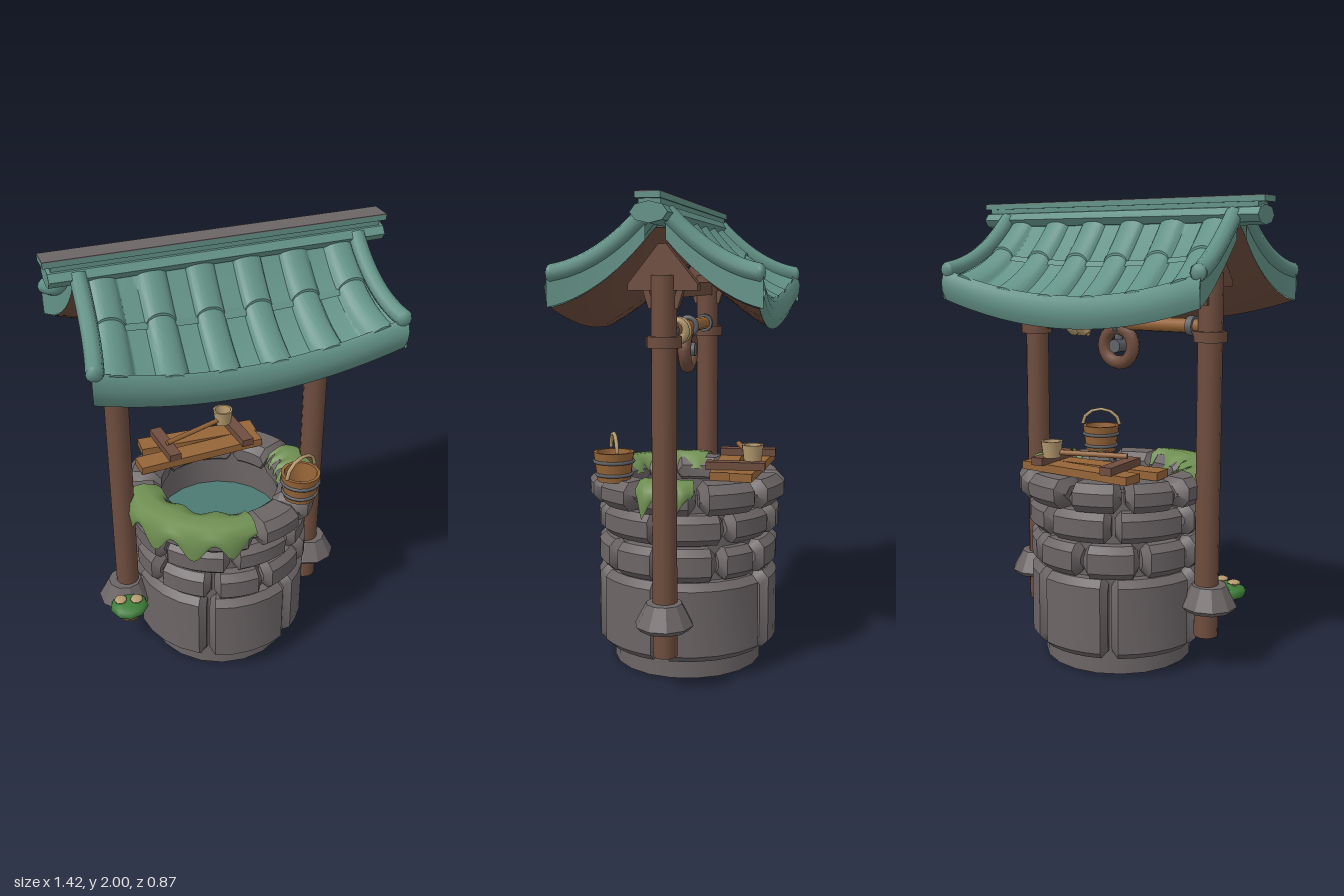
import * as THREE from 'three';
import { toCreasedNormals } from 'three/addons/utils/BufferGeometryUtils.js';

const mat = (name, color, double) => {
  const m = new THREE.MeshStandardMaterial({ color });
  m.name = name;
  if (double) m.side = THREE.DoubleSide;
  return m;
};

export function createModel() {
  const model = new THREE.Group();
  model.name = 'well';
  const tile = mat('roofTeal', 0x639287, true);
  const stone = mat('stoneGrey', 0x6c6566);
  const wood = mat('darkWood', 0x6f4d3e);
  const plankWood = mat('plankWood', 0x966538, true);
  const rope = mat('ropeTan', 0xb59a6e);
  const moss = mat('mossGreen', 0x6f8f52, true);
  const leaf = mat('leafGreen', 0x3d7c38);
  const iron = mat('ironGrey', 0x5f6268);
  const waterMat = mat('waterTeal', 0x4c7a74);

  const add = (name, geo, m, pos = [0, 0, 0], rot = [0, 0, 0], parent = model) => {
    const mesh = new THREE.Mesh(geo, m);
    mesh.name = name;
    mesh.position.set(...pos);
    mesh.rotation.set(...rot);
    parent.add(mesh);
    return mesh;
  };
  const box = (x, y, z) => new THREE.BoxGeometry(x, y, z);
  const cyl = (rt, rb, h, n = 12) => new THREE.CylinderGeometry(rt, rb, h, n);
  const V = (x, y, z) => new THREE.Vector3(x, y, z);
  const lathe = (pts, n) => toCreasedNormals(new THREE.LatheGeometry(pts.map(p => new THREE.Vector2(...p)), n), 0.6);
  let seed = 7;
  const rand = () => (seed = (seed * 16807) % 2147483647) / 2147483647;

  // Surface from a rule f(u, v); its normal points along dv x du
  const grid = (nu, nv, f) => {
    const pos = [], idx = [], w = nv + 1;
    for (let i = 0; i <= nu; i++) for (let j = 0; j <= nv; j++) pos.push(...f(i / nu, j / nv));
    for (let i = 0; i < nu; i++) for (let j = 0; j < nv; j++) {
      const a = i * w + j;
      idx.push(a, a + 1, a + w + 1, a, a + w + 1, a + w);
    }
    const g = new THREE.BufferGeometry();
    g.setAttribute('position', new THREE.Float32BufferAttribute(pos, 3));
    g.setIndex(idx);
    g.computeVertexNormals();
    return g;
  };

  // Chamfered block bent around the well, lofted from octagonal sections
  const stoneBlock = (a0, a1, r0, r1, y0, y1, b) => {
    const section = (a, k) => [
      [r1 - k, y1 - b - k], [r1 - k, y0 + b + k], [r1 - b - k, y0 + k], [r0 + b, y0 + k],
      [r0, y0 + b + k], [r0, y1 - b - k], [r0 + b, y1 - k], [r1 - b - k, y1 - k],
    ].map(([r, y]) => [r * Math.sin(a), y, r * Math.cos(a)]);
    const e = b / r1, n = 4, rings = [section(a0, b * 0.9)];
    for (let i = 0; i <= n; i++) rings.push(section(a0 + e + (a1 - a0 - 2 * e) * i / n, 0));
    rings.push(section(a1, b * 0.9));
    const p = [];
    for (let i = 0; i < rings.length - 1; i++) for (let j = 0; j < 8; j++) {
      const A = rings[i][j], B = rings[i][(j + 1) % 8], C = rings[i + 1][(j + 1) % 8], D = rings[i + 1][j];
      p.push(...A, ...B, ...C, ...A, ...C, ...D);
    }
    const s = rings[0], t = rings[rings.length - 1];
    for (let j = 1; j < 7; j++) p.push(...s[0], ...s[j + 1], ...s[j], ...t[0], ...t[j], ...t[j + 1]);
    const g = new THREE.BufferGeometry();
    g.setAttribute('position', new THREE.Float32BufferAttribute(p, 3));
    g.computeVertexNormals();
    return toCreasedNormals(g, 0.6);
  };

  // Well shaft and water
  add('shaft', lathe([[0, 0], [0.33, 0], [0.33, 0.8], [0.28, 0.8], [0.28, 0.55], [0, 0.55]], 20), stone);
  add('water', cyl(0.282, 0.282, 0.01, 20), waterMat, [0, 0.61, 0]);

  // Stone courses: count, start angle, inner and outer radius, bottom, top, chamfer
  [[6, -0.5, 0.3, 0.395, 0.085, 0.43, 0.03], [10, -0.44, 0.3, 0.395, 0.435, 0.575, 0.03],
    [8, -0.22, 0.3, 0.4, 0.59, 0.72, 0.03], [10, 0.03, 0.265, 0.435, 0.725, 0.85, 0.035]].forEach(([n, start, r0, r1, y0, y1, b], row) => {
    const step = 2 * Math.PI / n;
    const cuts = Array.from({ length: n }, (_, i) => start + step * (i + (i > 1 ? (rand() - 0.5) * 0.25 : 0)));
    cuts.push(cuts[0] + 2 * Math.PI);
    for (let i = 0; i < n; i++) {
      const j = (rand() - 0.5) * 0.016;
      add('stoneRow' + (row + 1), stoneBlock(cuts[i] + 0.02, cuts[i + 1] - 0.02, r0, r1 + j, y0, y1 + j * 0.5, b), stone);
    }
  });

  // Moss draped over the rim
  const drape = (a0, a1, drips, n) => add('rimMoss', grid(n, 6, (u, v) => {
    const a = a0 + (a1 - a0) * u, edge = Math.min(1, 6 * u, 6 * (1 - u));
    const low = 0.82 - edge * (0.07 + 0.045 * Math.cos(2 * Math.PI * drips * (u - 0.12)));
    const wob = 0.015 * Math.sin(u * 19), pull = 0.03 * (1 - edge);
    const path = [[0.27 - wob, 0.8], [0.29 - wob, 0.85], [0.35, 0.868], [0.42 - pull, 0.862], [0.448 - pull, 0.835], [0.454 - pull, (0.82 + low) / 2], [0.448 - pull, low]];
    const [r, y] = path[Math.round(v * 6)];
    return [r * Math.sin(a), y, r * Math.cos(a)];
  }), moss);
  drape(-1.66, 0.03, 4, 40);
  drape(1.24, 1.84, 2, 18);

  // Posts with collars, footings and gables
  for (const s of [-1, 1]) {
    const x = 0.455 * s;
    add('post', cyl(0.052, 0.052, 1.55), wood, [x, 0.925, 0]);
    add('postCollar', cyl(0.072, 0.072, 0.045, 10), wood, [x, 1.44, 0]);
    add('footing', toCreasedNormals(cyl(0.075, 0.122, 0.09, 10), 0.4), stone, [x * 1.03, 0.335, 0]);
    add('footingBase', toCreasedNormals(cyl(0.122, 0.105, 0.02, 10), 0.4), stone, [x * 1.03, 0.28, 0]);
    const g = new THREE.Shape([[-0.14, 1.64], [0.14, 1.64], [0.14, 1.665], [0.015, 1.82], [-0.015, 1.82], [-0.14, 1.665]].map(p => new THREE.Vector2(...p)));
    add('gable', new THREE.ExtrudeGeometry(g, { depth: 0.05, bevelEnabled: false }), wood, [x - 0.025, 0, 0], [0, Math.PI / 2, 0]);
    for (const k of [-1, 1]) add('brace', box(0.035, 0.08, 0.025), wood, [x, 1.61, 0.058 * k], [0.3 * k, 0, 0]);
    add('axleRing', cyl(0.042, 0.042, 0.03), iron, [0.37 * s, 1.48, 0], [0, 0, Math.PI / 2]);
  }
  add('tieBeam', box(0.91, 0.06, 0.06), wood, [0, 1.64, 0]);

  // Axle, pulley wheel, hook and rope coils
  add('axle', cyl(0.03, 0.03, 0.84), plankWood, [0, 1.48, 0], [0, 0, Math.PI / 2]);
  add('pulleyWheel', new THREE.TorusGeometry(0.075, 0.03, 8, 20), wood, [0, 1.38, 0]);
  add('pulleyHook', cyl(0.018, 0.018, 0.12, 8), iron, [0, 1.44, 0]);
  add('hookRing', new THREE.TorusGeometry(0.038, 0.012, 6, 14), iron, [0, 1.48, 0], [0, Math.PI / 2, 0]);
  add('pulleyHub', cyl(0.03, 0.03, 0.07, 10), iron, [0, 1.38, 0], [Math.PI / 2, 0, 0]);
  for (const x of [0.19, 0.24]) {
    add('ropeCoil', new THREE.TorusGeometry(0.042, 0.017, 6, 14), rope, [x, 1.472, 0], [0, Math.PI / 2, 0.15]);
    add('ropeEnd', cyl(0.022, 0.006, 0.055, 8), rope, [x, 1.438, 0.035]);
  }

  // Curved roof: s runs across, t runs from ridge to eave, h lifts off the surface
  const roof = (s, t, h = 0) => [
    s * (0.59 + 0.045 * t * t),
    1.89 - 0.375 * t + 0.155 * t * t - 0.1 * (1 - s * s) * t + h,
    0.04 + 0.335 * t + 0.02 * s * s * t,
  ];
  // Half-round cover tiles with flat pans between
  const cover = s => {
    const d = Math.abs(((s * 0.61 + 2.05) % 0.205) - 0.1025) / 0.06;
    return d < 1 ? 0.042 * Math.sqrt(1 - d * d) : 0;
  };
  const eaveProfile = [[1, 0.038], [1.05, 0.026], [1.08, -0.01], [1.07, -0.05], [1.02, -0.092]];
  for (const turn of [0, Math.PI]) {
    const slope = new THREE.Group();
    slope.name = 'roofSlope';
    slope.rotation.y = turn;
    model.add(slope);
    const part = (name, geo, m, pos) => add(name, geo, m, pos, [0, 0, 0], slope);
    // Two overlapping tile courses, the upper one with a turned-down lip
    for (const [t0, t1, lift] of [[0, 0.4, 0.01], [0.36, 1.02, 0]])
      part('roofTiles', toCreasedNormals(grid(180, 8, (u, v) => {
        const s = u * 2 - 1;
        return roof(s, t0 + (t1 - t0) * Math.min(1, v * 8 / 7), v === 1 ? -0.01 : cover(s) + lift);
      }), 0.75), tile);
    // Joint strip across the pans
    part('tileJoint', grid(40, 1, (u, v) => roof(u * 2 - 1, 0.39 + 0.05 * v, 0.016 - 0.006 * v)), tile);
    part('roofBoards', grid(24, 8, (u, v) => {
      const t = -0.119 + 1.139 * v;
      return roof(1 - 2 * u, t, -0.06 - 0.032 * Math.max(0, t));
    }), wood);
    part('eaveEdge', grid(24, 4, (u, v) => roof(u * 2 - 1, ...eaveProfile[Math.round(v * 4)])), tile);
    for (const s of [-1, 1]) {
      part('gableFace', grid(10, 1, (u, v) => roof(s, u * 1.06, 0.03 - (0.09 + 0.03 * u) * v)), tile);
      const pts = Array.from({ length: 11 }, (_, i) => V(...roof(s * 0.98, i / 10 * 1.02, 0.042)));
      part('gableRoll', new THREE.TubeGeometry(new THREE.CatmullRomCurve3(pts), 20, 0.035, 8), tile);
      part('gableRollEnd', new THREE.SphereGeometry(0.035, 8, 6), tile, pts[10].toArray()).scale.z = 0.6;
    }
  }

  // Ridge
  add('ridgeRoll', toCreasedNormals(cyl(0.04, 0.04, 1.39, 8), 0.5), tile, [0, 1.925, 0], [0, 0, Math.PI / 2]).scale.z = 1.8;
  add('ridgeCourse', box(1.36, 0.03, 0.085), tile, [0, 1.963, 0]);
  add('ridgeCap', box(1.42, 0.022, 0.096), tile, [0, 1.985, 0]);
  add('ridgeTop', box(1.42, 0.004, 0.096), stone, [0, 1.998, 0]);

  // Plank cover and ladle at the back of the rim
  add('plank', box(0.6, 0.035, 0.095), plankWood, [-0.03, 0.872, -0.18], [0, 0.06, 0]);
  add('plank', box(0.56, 0.035, 0.095), plankWood, [0, 0.872, -0.295], [0, -0.05, 0]);
  for (const x of [-0.175, 0.18]) add('crossBar', box(0.055, 0.034, 0.25), wood, [x, 0.905, -0.245], [0, 0.08, 0]);
  const from = V(-0.18, 0.94, -0.2), to = V(0.11, 0.942, -0.3);
  const handle = add('ladleHandle', cyl(0.012, 0.012, from.distanceTo(to), 8), plankWood, from.clone().lerp(to, 0.5).toArray());
  handle.quaternion.setFromUnitVectors(V(0, 1, 0), to.clone().sub(from).normalize());
  add('ladleCup', lathe([[0, 0], [0.038, 0], [0.047, 0.07], [0.038, 0.07], [0.032, 0.02], [0, 0.02]], 12), rope, [0.135, 0.92, -0.31]);

  // Bucket
  const bucket = new THREE.Group();
  bucket.name = 'bucket';
  bucket.position.set(0.28, 0.84, 0.26);
  bucket.rotation.y = 0.42;
  model.add(bucket);
  const put = (name, geo, m, y) => add(name, geo, m, [0, y, 0], [0, 0, 0], bucket);
  put('pail', lathe([[0, 0], [0.07, 0], [0.087, 0.125], [0.073, 0.125], [0.062, 0.03], [0, 0.03]], 14), plankWood, 0);
  for (const y of [0.03, 0.085]) put('hoop', new THREE.TorusGeometry(0.071 + y * 0.136, 0.008, 6, 18).rotateX(Math.PI / 2), iron, y);
  put('pailHandle', new THREE.TorusGeometry(0.09, 0.009, 6, 6, Math.PI), rope, 0.13).scale.y = 0.8;

  // Leafy clump with mushrooms by the footing
  add('leafClump', new THREE.SphereGeometry(0.088, 9, 6), leaf, [-0.487, 0.32, 0.125]).scale.set(1, 0.42, 0.95);
  for (const [x, z] of [[-0.525, 0.12], [-0.455, 0.14]]) {
    add('mushroomStem', cyl(0.01, 0.012, 0.03, 6), rope, [x, 0.352, z]);
    add('mushroomCap', new THREE.SphereGeometry(0.03, 8, 5), rope, [x, 0.366, z]).scale.y = 0.35;
  }
  return model;
}
